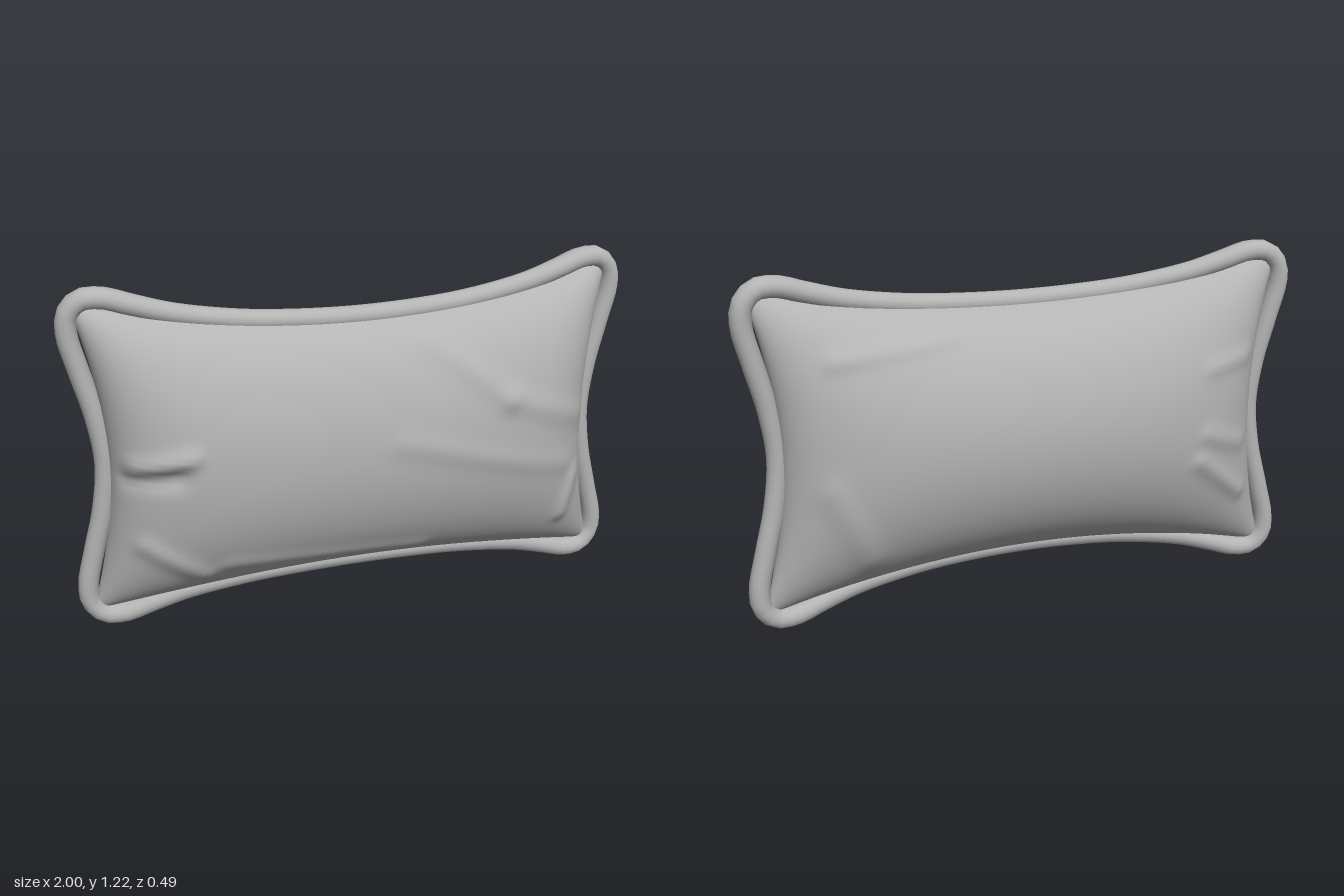
import * as THREE from 'three';

const MID = 0.615; // height of the pillow's centre

// The seam bows forward in the middle of the long edges
const seamZ = (x) => -0.035 + 0.065 * Math.max(0, 1 - x * x * 1.1);

// Soft creases: start x, y, end x, y (from the centre), height, width
const frontFolds = [
  [-0.80, 0.03, -0.62, 0.07, 0.022, 0.03],
  [-0.82, -0.02, -0.66, 0.00, -0.02, 0.03],
  [0.22, 0.38, 0.50, 0.16, 0.012, 0.04],
  [0.50, 0.16, 0.80, 0.04, 0.012, 0.04],
  [0.10, 0.05, 0.75, -0.14, 0.008, 0.04],
  [-0.78, -0.26, -0.58, -0.40, 0.016, 0.03],
  [-0.50, -0.36, 0.20, -0.40, 0.008, 0.03],
  [0.80, -0.20, 0.76, -0.36, 0.018, 0.03],
];
const backFolds = [
  [-0.80, -0.30, -0.60, -0.14, 0.016, 0.03],
  [-0.78, -0.10, -0.62, -0.04, 0.012, 0.03],
  [-0.80, 0.22, -0.64, 0.20, 0.010, 0.03],
  [0.60, -0.36, 0.72, -0.10, 0.010, 0.05],
  [0.30, 0.38, 0.70, 0.34, 0.010, 0.03],
];

function foldHeight(folds, x, y) {
  let sum = 0;
  for (const [ax, ay, bx, by, height, width] of folds) {
    const dx = bx - ax, dy = by - ay;
    const t = THREE.MathUtils.clamp(((x - ax) * dx + (y - ay) * dy) / (dx * dx + dy * dy), 0, 1);
    const d = Math.hypot(x - ax - t * dx, y - ay - t * dy) / width;
    sum += height * Math.exp(-d * d);
  }
  return sum;
}

// One puffed half of the cushion; side is 1 for front, -1 for back
function cushionHalf(side, folds) {
  const geo = new THREE.PlaneGeometry(2, 2, 96, 72);
  const p = geo.attributes.position;
  for (let i = 0; i < p.count; i++) {
    const u = Math.sin(p.getX(i) * Math.PI / 2) * side;
    const v = Math.sin(p.getY(i) * Math.PI / 2);
    const x = u * (0.865 + 0.09 * v * v);
    const y = v * (0.452 + 0.108 * u * u);
    const puff = Math.sqrt(Math.max(0, 1 - u ** 4)) * Math.max(0, 1 - v * v) ** 0.6;
    const crease = foldHeight(folds, x, y) * Math.min(1, puff * 2.5);
    p.setXYZ(i, x, y + MID, seamZ(x) * (1 - puff) + side * (0.24 * puff + crease));
  }
  geo.computeVertexNormals();
  return geo;
}

// Rounded piping that follows the pinched outline
function pipingGeometry() {
  const quarter = [
    [0, 0.452], [0.2, 0.457], [0.4, 0.472], [0.62, 0.508], [0.75, 0.545], [0.845, 0.574],
    [0.915, 0.57], [0.957, 0.525], [0.964, 0.46], [0.935, 0.33], [0.895, 0.17], [0.875, 0],
  ];
  const back = quarter.slice(1, -1).reverse();
  const loop = [
    ...quarter,
    ...back.map(([x, y]) => [x, -y]),
    ...quarter.map(([x, y]) => [-x, -y]).slice(0, -1),
    [-0.875, 0],
    ...back.map(([x, y]) => [-x, y]),
  ];
  const path = new THREE.CatmullRomCurve3(
    loop.map(([x, y]) => new THREE.Vector3(x, y + MID, seamZ(x))), true, 'centripetal');
  const segments = 180, sides = 14;
  const geo = new THREE.TubeGeometry(path, segments, 0.036, sides, true);
  // Thicken the piping from front to back at the corners
  const p = geo.attributes.position;
  for (let i = 0; i < p.count; i++) {
    const centre = path.getPointAt((Math.floor(i / (sides + 1)) % segments) / segments);
    const corner = THREE.MathUtils.smoothstep(Math.abs(centre.x * (centre.y - MID)), 0.3, 0.5);
    p.setZ(i, centre.z + (p.getZ(i) - centre.z) * (1 + 0.3 * corner));
  }
  return geo;
}

export function createModel() {
  const fabric = new THREE.MeshStandardMaterial({ color: 0xb4b4b4 });
  fabric.name = 'greyFabric';
  const pillow = new THREE.Group();
  pillow.name = 'pillow';
  const add = (name, geometry) => {
    const mesh = new THREE.Mesh(geometry, fabric);
    mesh.name = name;
    pillow.add(mesh);
  };
  add('frontCushion', cushionHalf(1, frontFolds));
  add('backCushion', cushionHalf(-1, backFolds));
  add('piping', pipingGeometry());
  return pillow;
}
